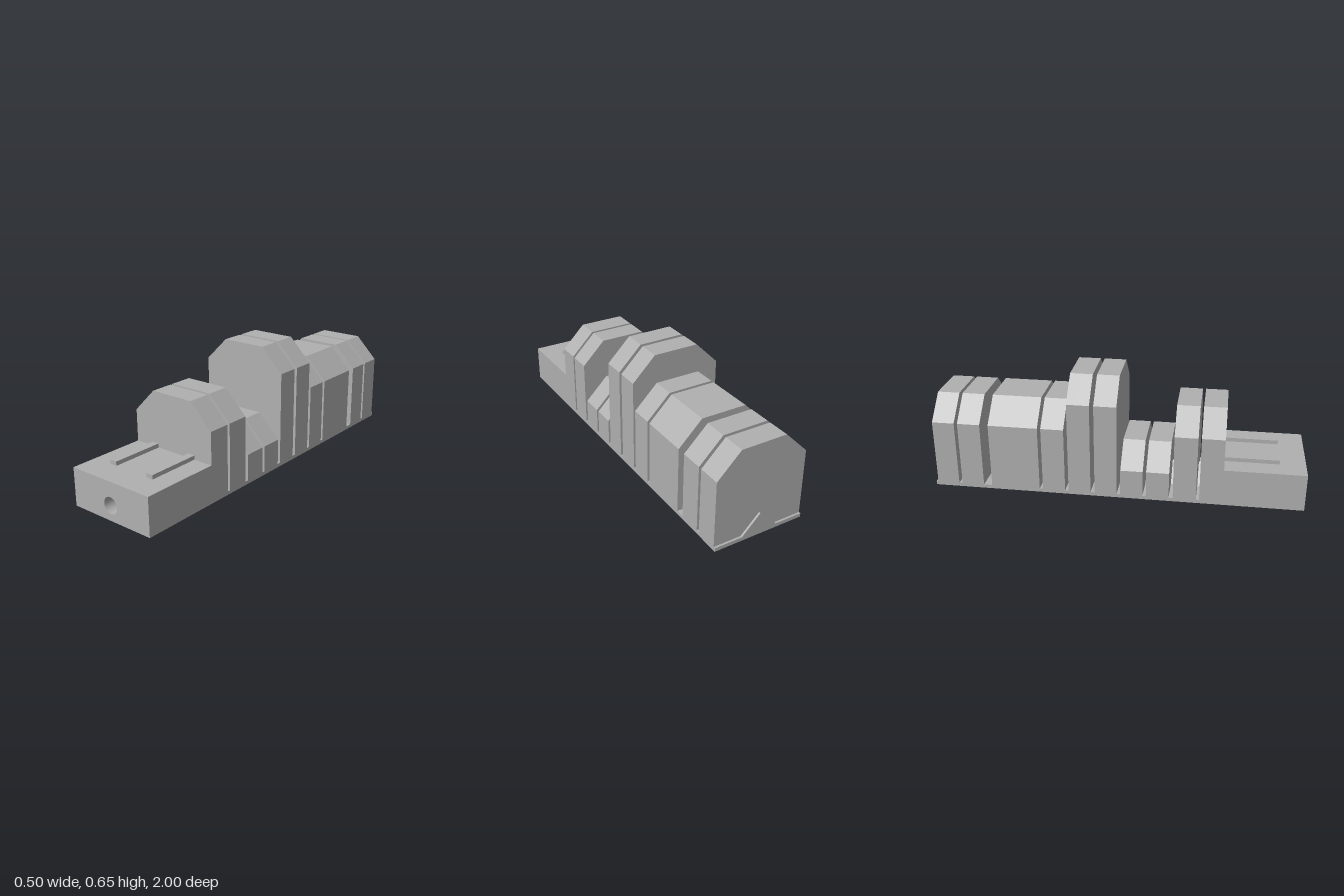
import * as THREE from 'three';

const HALF = 0.252, CUT = 0.127;

export function createModel() {
  const model = new THREE.Group();
  model.name = 'keyGauge';
  const grey = new THREE.MeshStandardMaterial({ color: 0xb0b0b0 });
  grey.name = 'plain grey';

  // Extrudes an outline in x and y from one z to another
  function slab(name, shape, z0, z1) {
    const geo = new THREE.ExtrudeGeometry(shape, {
      depth: z1 - z0, bevelEnabled: false, curveSegments: 32,
    });
    const mesh = new THREE.Mesh(geo, grey);
    mesh.name = name;
    mesh.position.z = z0;
    model.add(mesh);
  }
  const outline = (pts) => new THREE.Shape(pts.map(([x, y]) => new THREE.Vector2(x, y)));

  // Thin floor with a triangular ridge, seen in the slots and at the back
  slab('ridgedFloor', outline([
    [-HALF, 0], [HALF, 0], [HALF, 0.02], [0.1, 0.02], [0, 0.12], [-0.1, 0.02], [-HALF, 0.02],
  ]), -1, 0.574);

  // Low front block with a round bore
  const front = outline([[-HALF, 0], [HALF, 0], [HALF, 0.205], [-HALF, 0.205]]);
  const bore = new THREE.Path();
  bore.absarc(0, 0.081, 0.044, 0, Math.PI * 2, true);
  front.holes.push(bore);
  slab('frontBlock', front, 0.574, 1);

  // Wedge at the bottom of the bore
  const wedge = new THREE.Shape();
  wedge.moveTo(0, 0.081);
  wedge.absarc(0, 0.081, 0.044, Math.PI * 1.25, Math.PI * 1.75, false);
  wedge.closePath();
  slab('boreWedge', wedge, 0.574, 0.7);

  // Two small rails on the front block
  for (const side of [-1, 1]) {
    const rail = new THREE.Mesh(new THREE.BoxGeometry(0.04, 0.027, 0.29), grey);
    rail.name = side > 0 ? 'leftRail' : 'rightRail';
    rail.position.set(side * 0.122, 0.2135, 0.717);
    model.add(rail);
  }

  // Chamfered blocks: back z, front z, height
  const blocks = [
    [0.452, 0.574, 0.505], [0.312, 0.435, 0.505],
    [0.168, 0.29, 0.29], [0.03, 0.15, 0.29],
    [-0.11, 0.01, 0.652], [-0.253, -0.132, 0.652],
    [-0.395, -0.272, 0.505], [-0.681, -0.413, 0.505],
    [-0.85, -0.727, 0.505], [-0.989, -0.868, 0.505],
  ];
  blocks.forEach(([z0, z1, h], i) => {
    slab(`block${i + 1}`, outline([
      [-HALF, 0.01], [HALF, 0.01], [HALF, h - CUT], [HALF - CUT, h],
      [CUT - HALF, h], [-HALF, h - CUT],
    ]), z0, z1);
  });
  return model;
}
